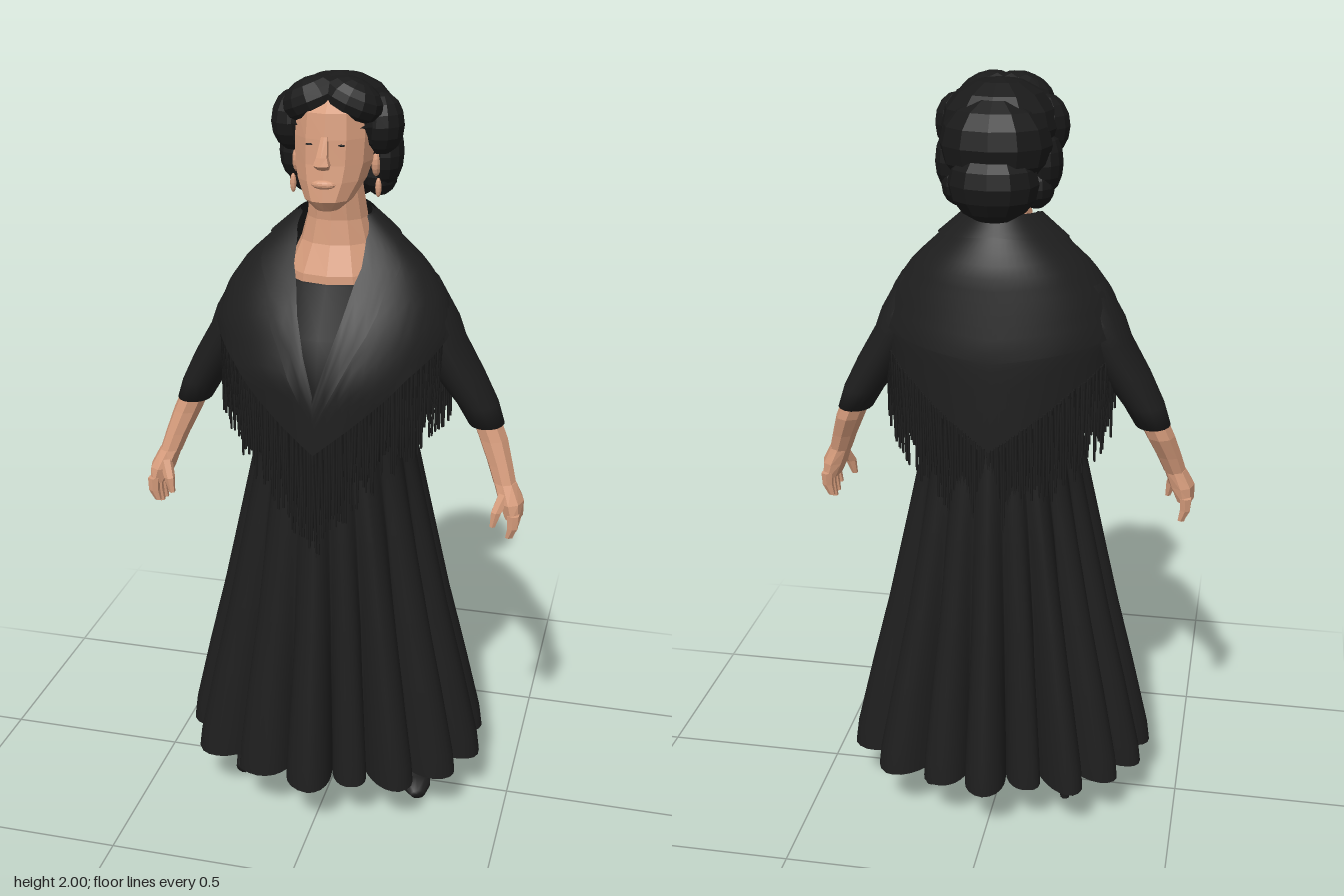
import * as THREE from 'three';
import { mergeGeometries } from 'three/addons/utils/BufferGeometryUtils.js';

const cloth = new THREE.MeshStandardMaterial({ color: 0x1e1e1e, side: THREE.DoubleSide });
const hairBlack = new THREE.MeshStandardMaterial({ color: 0x191919, flatShading: true });
const skin = new THREE.MeshStandardMaterial({ color: 0xd69c7c, flatShading: true });
cloth.name = 'blackCloth'; hairBlack.name = 'blackHair'; skin.name = 'skin';

const TAU = Math.PI * 2;
let seed = 7;
const rand = () => (seed = (seed * 16807) % 2147483647) / 2147483647;

// Linear lookup in a table of [key, value] pairs
function look(table, k) {
  if (k <= table[0][0]) return table[0][1];
  for (let i = 1; i < table.length; i++) {
    const [a, va] = table[i - 1], [b, vb] = table[i];
    if (k <= b) return va + (vb - va) * (k - a) / (b - a);
  }
  return table[table.length - 1][1];
}

// Grid surface from rows of points; closed rows wrap round, caps fill both ends
function loft(rows, closed = true, caps = true) {
  const n = rows[0].length, pos = [], idx = [];
  rows.forEach(r => r.forEach(p => pos.push(p.x, p.y, p.z)));
  for (let j = 0; j < rows.length - 1; j++)
    for (let i = 0; i < (closed ? n : n - 1); i++) {
      const a = j * n + i, b = j * n + (i + 1) % n;
      idx.push(a, b, a + n, b, b + n, a + n);
    }
  if (caps) [0, rows.length - 1].forEach((j, end) => {
    const c = rows[j].reduce((s, p) => s.add(p), new THREE.Vector3()).divideScalar(n);
    const ci = pos.push(c.x, c.y, c.z) / 3 - 1;
    for (let i = 0; i < n; i++) {
      const a = j * n + i, b = j * n + (i + 1) % n;
      end ? idx.push(a, b, ci) : idx.push(b, a, ci);
    }
  });
  // turn the faces outward when the enclosed volume comes out negative
  const v = i => new THREE.Vector3().fromArray(pos, i * 3);
  let vol = 0;
  for (let i = 0; i < idx.length; i += 3) vol += v(idx[i]).dot(v(idx[i + 1]).cross(v(idx[i + 2])));
  if (vol < 0) idx.reverse();
  const g = new THREE.BufferGeometry();
  g.setAttribute('position', new THREE.Float32BufferAttribute(pos, 3));
  g.setIndex(idx);
  g.computeVertexNormals();
  return g;
}

const ringOf = (n, f) => Array.from({ length: n }, (_, i) => f(Math.sin(i * TAU / n), Math.cos(i * TAU / n)));
// Level rings [x, y, z, rx, rz], and upright rings [z, y, rx, ry]
const limb = (rows, n = 10) => loft(rows.map(([x, y, z, rx, rz]) =>
  ringOf(n, (s, c) => new THREE.Vector3(x + rx * s, y, z + rz * c))));
const lengthwise = (rows, n = 10) => loft(rows.map(([z, y, rx, ry]) =>
  ringOf(n, (s, c) => new THREE.Vector3(rx * s, y + ry * c, z))));
// Rings [y, rx, zFront, zBack]
const trunk = (rows, n = 16) => limb(rows.map(([y, rx, f, b]) => [0, y, (f + b) / 2, rx, (f - b) / 2]), n);

function add(parent, name, geo, mat) {
  const m = new THREE.Mesh(geo, mat);
  m.name = name;
  parent.add(m);
  return m;
}
function blob(parent, name, [x, y, z], [rx, ry, rz], mat, tilt = 0) {
  const m = add(parent, name, new THREE.SphereGeometry(1, 12, 8), mat);
  m.position.set(x, y, z);
  m.scale.set(rx, ry, rz);
  m.rotation.z = tilt;
}

// Shape of the draped shoulders by height
const wide = [[1.0, .29], [1.25, .312], [1.38, .316], [1.47, .28], [1.54, .23], [1.6, .165], [1.67, .085], [1.69, .07]];
const front = [[1.1, .25], [1.29, .245], [1.42, .19], [1.58, .075], [1.67, .03]];
const back = [[1.1, .22], [1.35, .212], [1.55, .172], [1.63, .13], [1.68, .09]];
function drape(t, y, off = 0) {
  const a = Math.abs(t), c = Math.cos(a);
  const rz = c > 0 ? look(front, y) : look(back, y);
  return new THREE.Vector3((look(wide, y) + off) * Math.sin(t), y, (rz + off) * c);
}
// Heights of the shawl edges by angle from the front
const opening = [[0, 1.25], [.15, 1.4], [.27, 1.5], [.54, 1.6], [1, 1.66], [Math.PI, 1.68]];
const edge = [[0, 1.1], [.4, 1.2], [.8, 1.3], [1.3, 1.38], [1.57, 1.4], [2.1, 1.37], [Math.PI, 1.33]];
const backPoint = [[1.3, 1.37], [1.6, 1.36], [2.4, 1.24], [Math.PI, 1.08]];
const collarEdge = [[0, 1.17], [.3, 1.36], [.6, 1.5], [1.2, 1.6], [Math.PI, 1.63]];

function shawlSheet(top, bottom, t0, t1, off, cols = 64, steps = 12) {
  const rows = [];
  for (let j = 0; j <= steps; j++) {
    const row = [];
    for (let i = 0; i <= cols; i++) {
      const t = t0 + (t1 - t0) * i / cols, a = t > Math.PI ? TAU - t : t;
      const y0 = look(top, a), y1 = look(bottom, a);
      row.push(drape(t, y0 + (y1 - y0) * j / steps, off));
    }
    rows.push(row);
  }
  return loft(rows, false, false);
}

// Hanging strands along an edge, longest at the middle point
function fringe(table, t0, t1, count, off) {
  const parts = [], mid = (t0 + t1) / 2;
  for (let i = 0; i < count; i++) {
    const t = t0 + (t1 - t0) * (i + rand() * .6) / count, a = t > Math.PI ? TAU - t : Math.abs(t);
    const len = .16 + rand() * .1 + .06 * Math.max(0, 1 - Math.abs(t - mid) / .4);
    const p = drape(t, look(table, a), off);
    const g = new THREE.CylinderGeometry(.006, .003, len, 4);
    g.rotateZ((rand() - .5) * .06);
    g.translate(p.x, p.y - len / 2 + .015, p.z);
    parts.push(g);
  }
  return mergeGeometries(parts);
}

// Pleats: hem positions [x, z] of the crests, swelling from a smooth waist
const crests = [[0, .33], [.11, .275], [.24, .265], [.36, .165], [.418, .04], [.4, -.13], [.28, -.265], [.14, -.295],
  [0, -.33], [-.12, -.275], [-.24, -.28], [-.34, -.195], [-.4, -.1], [-.418, .03], [-.335, .21], [-.18, .28]];
function skirt() {
  const rows = [[.14, .42, .33, .27], [.2, .412, .324, .265], [.4, .365, .295, .21], [.6, .315, .265, .15],
    [.85, .258, .24, .09], [1.05, .213, .215, .05], [1.15, .2, .205, .02]];
  const polar = crests.map(([x, z]) => [(Math.atan2(x / .42, z / .33) + TAU) % TAU, Math.hypot(x / .42, z / .33)]);
  polar.push([TAU, polar[0][1]]);
  const steps = 14;
  return loft(rows.map(([y, rx, rz, deep], j) => Array.from({ length: 16 * steps }, (_, n) => {
    const i = Math.floor(n / steps), f = (n % steps) / steps;
    const [t0, m0] = polar[i], [t1, m1] = polar[i + 1];
    const t = t0 + (t1 - t0) * (f + .6 * deep * Math.sin(TAU * f));
    const fold = Math.pow(.5 + .5 * Math.cos(TAU * f), .75);
    const k = Math.pow(m0 + (m1 - m0) * f, deep / .27) * (1 - deep * (1 - fold));
    return new THREE.Vector3(rx * k * Math.sin(t), y + (j ? 0 : .015 * (1 - fold)), rz * k * Math.cos(t));
  })), true, false);
}

function arm() {
  const g = new THREE.Group();
  add(g, 'sleeve', limb([[.2, 1.5, -.01, .06, .08], [.25, 1.4, -.01, .066, .095], [.268, 1.35, -.01, .066, .092],
    [.32, 1.26, -.01, .065, .08], [.37, 1.18, -.015, .054, .064], [.395, 1.125, -.015, .046, .056]], 16), cloth);
  add(g, 'forearm', limb([[.385, 1.16, -.015, .038, .046], [.415, 1.09, -.005, .038, .046],
    [.438, 1.03, .015, .033, .039], [.455, .98, .03, .03, .036]], 8), skin);
  add(g, 'palm', limb([[.455, .985, .03, .03, .036], [.474, .94, .04, .034, .052], [.484, .9, .042, .024, .056]], 8), skin);
  for (let i = 0; i < 4; i++) {
    const z = -.002 + i * .029, tip = [.85, .835, .838, .852][i];
    add(g, 'finger', limb([[.488, .915, z, .017, .016], [.488, .88, z + .002, .015, .015],
      [.478, tip, z + .002, .009, .009]], 6), skin);
  }
  add(g, 'thumb', limb([[.462, .965, .06, .018, .018], [.444, .92, .084, .015, .015], [.436, .88, .09, .008, .009]], 6), skin);
  return g;
}

function leg() {
  const g = new THREE.Group(), foot = new THREE.Group();
  add(g, 'calf', limb([[.17, .55, -.03, .06, .065], [.18, .36, -.05, .05, .056], [.2, .17, -.05, .031, .038],
    [.2, .09, -.055, .026, .034]], 8), skin);
  foot.name = 'foot';
  foot.position.set(.205, 0, -.06);
  foot.rotation.y = .34;
  add(foot, 'instep', lengthwise([[-.03, .12, .022, .03], [.02, .1, .028, .036], [.07, .06, .031, .026], [.11, .035, .024, .012]], 8), skin);
  add(foot, 'shoe', lengthwise([[-.05, .1, .022, .03], [-.02, .088, .032, .036], [.04, .058, .037, .025],
    [.09, .028, .046, .026], [.13, .025, .043, .024], [.165, .014, .02, .013]]), cloth);
  add(foot, 'heel', new THREE.CylinderGeometry(.024, .013, .09, 8), cloth).position.set(0, .045, -.032);
  g.add(foot);
  return g;
}

function head() {
  const g = new THREE.Group();
  g.name = 'head';
  add(g, 'face', trunk([[1.69, .03, .125, .05], [1.715, .06, .144, .01], [1.76, .086, .136, -.05], [1.8, .097, .128, -.08],
    [1.86, .1, .121, -.09], [1.92, .095, .11, -.08], [1.965, .06, .07, -.05]], 12), skin);
  add(g, 'nose', limb([[0, 1.868, .118, .009, .008], [0, 1.825, .142, .015, .016], [0, 1.806, .147, .022, .021],
    [0, 1.793, .132, .015, .012]], 6), skin);
  blob(g, 'lips', [0, 1.757, .134], [.03, .011, .012], skin);
  blob(g, 'crown', [0, 1.883, -.04], [.148, .115, .135], hairBlack);
  blob(g, 'backRoll', [0, 1.85, -.1], [.138, .115, .11], hairBlack);
  blob(g, 'bun', [0, 1.762, -.135], [.112, .097, .09], hairBlack);
  for (const s of [-1, 1]) {
    blob(g, 'eye', [s * .04, 1.848, .113], [.009, .0025, .004], hairBlack);
    blob(g, 'ear', [s * .1, 1.785, 0], [.012, .032, .02], skin);
    blob(g, 'earring', [s * .108, 1.728, .012], [.008, .024, .008], skin);
    // Swept waves beside the face
    blob(g, 'frontWave', [s * .048, 1.943, .04], [.08, .053, .062], hairBlack, -s * .4);
    blob(g, 'templeWave', [s * .11, 1.88, -.01], [.057, .075, .065], hairBlack);
    blob(g, 'sideWave', [s * .112, 1.8, -.055], [.046, .08, .065], hairBlack);
    blob(g, 'lowCurl', [s * .095, 1.745, -.07], [.045, .055, .06], hairBlack);
  }
  return g;
}

export function createModel() {
  const model = new THREE.Group();
  add(model, 'skirt', skirt(), cloth);
  add(model, 'bodice', trunk([[1.05, .2, .205, -.18], [1.25, .2, .215, -.17], [1.38, .2, .19, -.17], [1.5, .15, .118, -.14]]), cloth);
  add(model, 'chest', trunk([[1.44, .14, .11, -.1], [1.52, .125, .103, -.1], [1.59, .095, .068, -.1], [1.65, .078, .058, -.085],
    [1.74, .066, .066, -.07]], 12), skin);

  // Shawl with folded collar, back point and fringes
  add(model, 'shawl', shawlSheet(opening, edge, 0, TAU, 0), cloth);
  add(model, 'shawlCollar', shawlSheet(opening, collarEdge, 0, TAU, .008, 64, 5), cloth);
  add(model, 'shawlBackPoint', shawlSheet([[0, 1.42]], backPoint, 1.5, TAU - 1.5, -.008, 40, 6), cloth);
  add(model, 'frontFringe', fringe(edge, -1.2, 1.2, 110, -.01), cloth);
  add(model, 'backFringe', fringe(backPoint, 1.85, TAU - 1.85, 100, -.01), cloth);

  // Arms and legs, mirrored
  for (const [name, build] of [['Arm', arm], ['Leg', leg]])
    for (const s of [1, -1]) {
      const part = build();
      part.name = (s > 0 ? 'left' : 'right') + name;
      part.scale.x = s;
      model.add(part);
    }
  model.add(head());
  return model;
}
